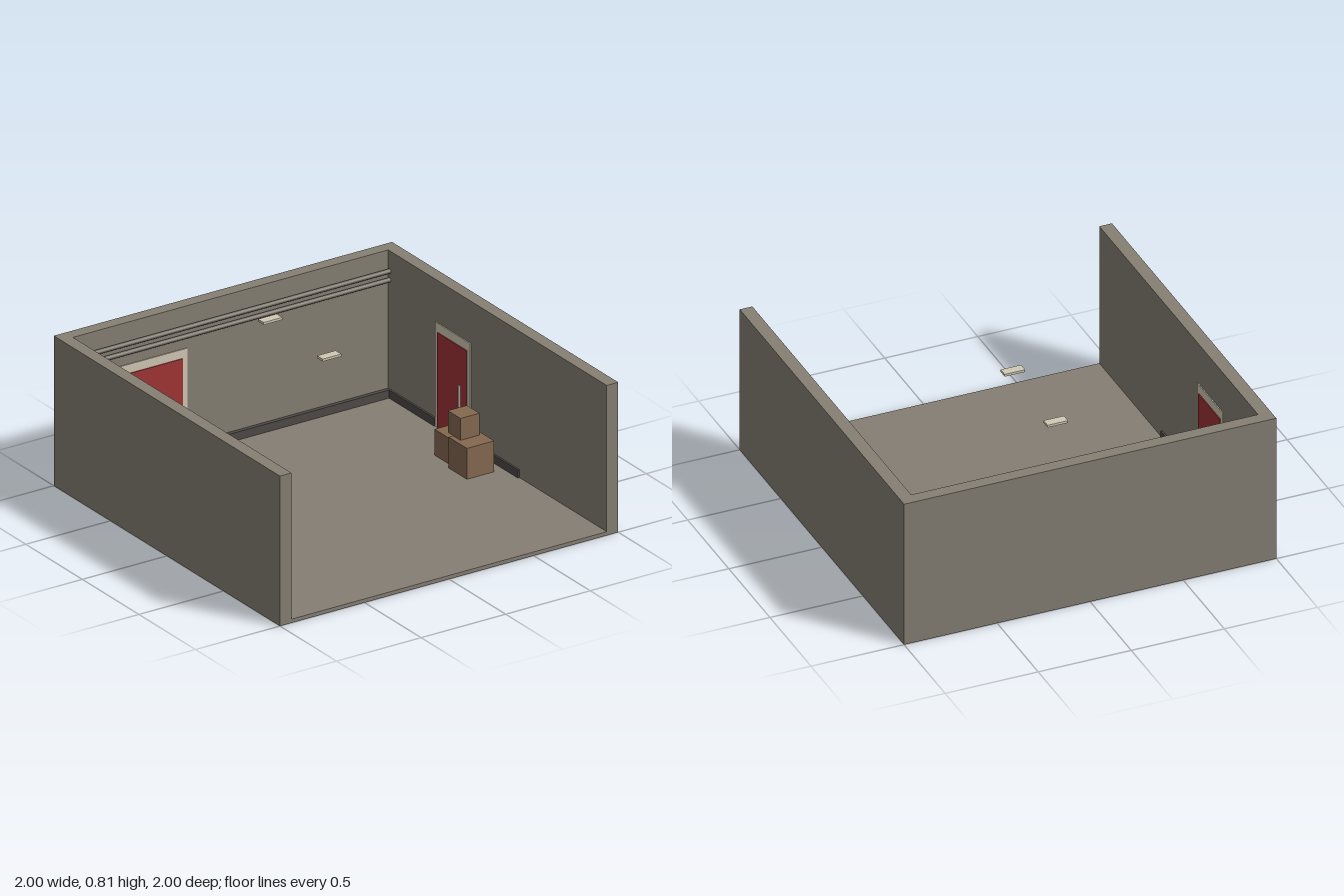
import * as THREE from 'three';

const mat = (name, color) => {
  const m = new THREE.MeshStandardMaterial({ color });
  m.name = name;
  return m;
};

export function createModel() {
  const room = new THREE.Group();
  room.name = 'room';

  const wall = mat('wall stone', 0x857f73);
  const floorMat = mat('floor stone', 0x857e74);
  const skirt = mat('dark skirting', 0x4d4a47);
  const pipeMat = mat('pipe grey', 0x6c675d);
  const red = mat('door red', 0xa03335);
  const cream = mat('cream trim', 0xd0c8b4);
  const crateMat = mat('crate brown', 0x846850);

  // Box given by its lower and upper corners
  const box = (name, m, [x0, y0, z0], [x1, y1, z1], parent = room) => {
    const mesh = new THREE.Mesh(new THREE.BoxGeometry(x1 - x0, y1 - y0, z1 - z0), m);
    mesh.position.set((x0 + x1) / 2, (y0 + y1) / 2, (z0 + z1) / 2);
    mesh.name = name;
    parent.add(mesh);
    return mesh;
  };

  const IN = 0.932, H = 0.81, FLOOR = 0.02;

  // Three walls as one U-shaped extrusion, open at the front
  const plan = new THREE.Shape([
    [-1, -1], [-IN, -1], [-IN, IN], [IN, IN], [IN, -1], [1, -1], [1, 1], [-1, 1],
  ].map(([x, y]) => new THREE.Vector2(x, y)));
  const wallGeo = new THREE.ExtrudeGeometry(plan, { depth: H, bevelEnabled: false });
  wallGeo.rotateX(-Math.PI / 2);
  const walls = new THREE.Mesh(wallGeo, wall);
  walls.name = 'walls';
  room.add(walls);

  box('floor', floorMat, [-IN, 0, -IN], [IN, FLOOR, 1]);

  // Skirting: full width at the back, broken by the doors at the sides
  box('backSkirting', skirt, [-IN, FLOOR, -IN], [IN, 0.064, -0.91]);
  for (const s of [-1, 1]) {
    for (const [z0, z1] of [[-0.91, -0.51], [-0.2, 0.23]]) {
      const xs = [s * IN, s * 0.922].sort((a, b) => a - b);
      box('sideSkirting', skirt, [xs[0], FLOOR, z0], [xs[1], 0.064, z1]);
    }
  }

  // Pipes along the back wall
  for (const y of [0.7, 0.653]) {
    const pipe = new THREE.Mesh(new THREE.CylinderGeometry(0.0125, 0.0125, 2 * IN, 10), pipeMat);
    pipe.rotation.z = Math.PI / 2;
    pipe.position.set(0, y, -0.92);
    pipe.name = 'pipe';
    room.add(pipe);
  }

  // Door facing +z with its back on z = 0 and its foot on the floor
  const door = (name, width, trim, handleX) => {
    const g = new THREE.Group();
    g.name = name;
    const w = width / 2;
    box('doorFrame', cream, [-w, FLOOR, 0], [w, 0.583, 0.005], g);
    box('doorPanel', red, [-w + trim, FLOOR, 0.004], [w - trim, 0.535, 0.01], g);
    box('doorHandle', cream, [handleX - 0.006, 0.21, 0.01], [handleX + 0.006, 0.325, 0.019], g);
    room.add(g);
    return g;
  };
  door('backDoor', 0.417, 0.032, 0.102).position.set(-0.4655, 0, -IN);
  for (const s of [-1, 1]) {
    const d = door('sideDoor', 0.31, 0.026, s * 0.07);
    d.rotation.y = -s * Math.PI / 2;
    d.position.set(s * IN, 0, -0.355);
  }

  // Hanging ceiling lamps
  for (const z of [-0.582, -0.06]) {
    box('ceilingLamp', cream, [-0.055, 0.797, z - 0.025], [0.055, H, z + 0.025]);
  }

  // Stacked crates by the left wall
  box('rearCrate', crateMat, [0.733, FLOOR, -0.225], [0.867, 0.16, -0.087]);
  box('frontCrate', crateMat, [0.706, FLOOR, -0.06], [0.867, 0.187, 0.102]);
  box('topCrate', crateMat, [0.733, 0.187, -0.107], [0.845, 0.305, 0.005]);

  return room;
}
